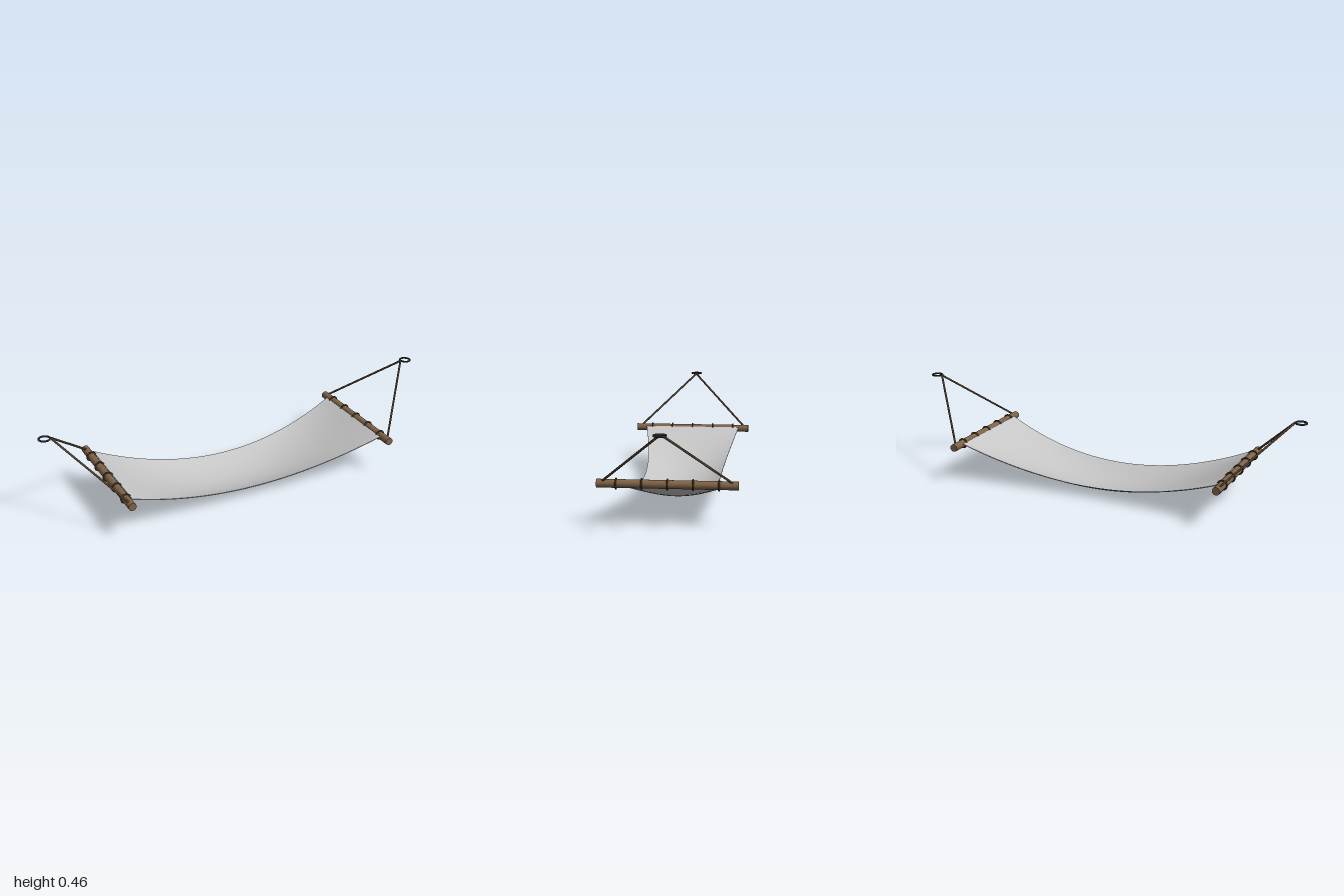
import * as THREE from 'three';

const material = (name, color) => {
  const m = new THREE.MeshStandardMaterial({ color });
  m.name = name;
  return m;
};

export function createModel() {
  const cloth = material('light grey cloth', 0xc6c6c6);
  const wood = material('brown wood', 0x7f6347);
  const rope = material('dark brown rope', 0x523e2d);
  const metal = material('dark metal', 0x2c2e31);

  const group = new THREE.Group();
  group.name = 'hammock';
  const add = (name, geometry, mat, x = 0, y = 0, z = 0) => {
    const mesh = new THREE.Mesh(geometry, mat);
    mesh.name = name;
    mesh.position.set(x, y, z);
    group.add(mesh);
    return mesh;
  };

  // Sagging cloth: a thin slab, narrower and more hollow at the middle
  const halfLength = 0.665, thickness = 0.004;
  const sheet = new THREE.BoxGeometry(2, thickness, 2, 40, 1, 20);
  const p = sheet.attributes.position;
  for (let i = 0; i < p.count; i++) {
    const t = p.getX(i), s = p.getZ(i);
    const width = 0.19 + 0.065 * t * t;
    const keel = 0.002 + 0.192 * t * t;
    const hollow = 0.052 * (1 - t * t) * s * s;
    p.setXYZ(i, t * halfLength, p.getY(i) + keel + hollow, s * width);
  }
  sheet.computeVertexNormals();
  add('cloth', sheet, cloth);

  // Both ends: spreader bar, lashings, two ropes and a hanging ring
  const barX = 0.685, barY = 0.187;
  const barGeometry = new THREE.CylinderGeometry(0.019, 0.019, 0.616, 20).rotateX(Math.PI / 2);
  const lashingGeometry = new THREE.TorusGeometry(0.022, 0.004, 8, 24);
  const ringGeometry = new THREE.TorusGeometry(0.0255, 0.0045, 10, 28).rotateX(Math.PI / 2);
  for (const side of [1, -1]) {
    const label = side > 0 ? 'left' : 'right';
    add(label + 'SpreaderBar', barGeometry, wood, side * barX, barY);
    for (let i = -2; i <= 2; i++) {
      add(label + 'Lashing', lashingGeometry, rope, side * barX, barY, i * 0.1115);
    }
    for (const end of [1, -1]) {
      const path = new THREE.LineCurve3(
        new THREE.Vector3(side * 0.69, 0.198, end * 0.283),
        new THREE.Vector3(side * 0.943, 0.454, 0));
      add(label + 'Rope', new THREE.TubeGeometry(path, 1, 0.0052, 8), rope);
    }
    add(label + 'Ring', ringGeometry, metal, side * 0.97, 0.4545);
  }
  return group;
}
